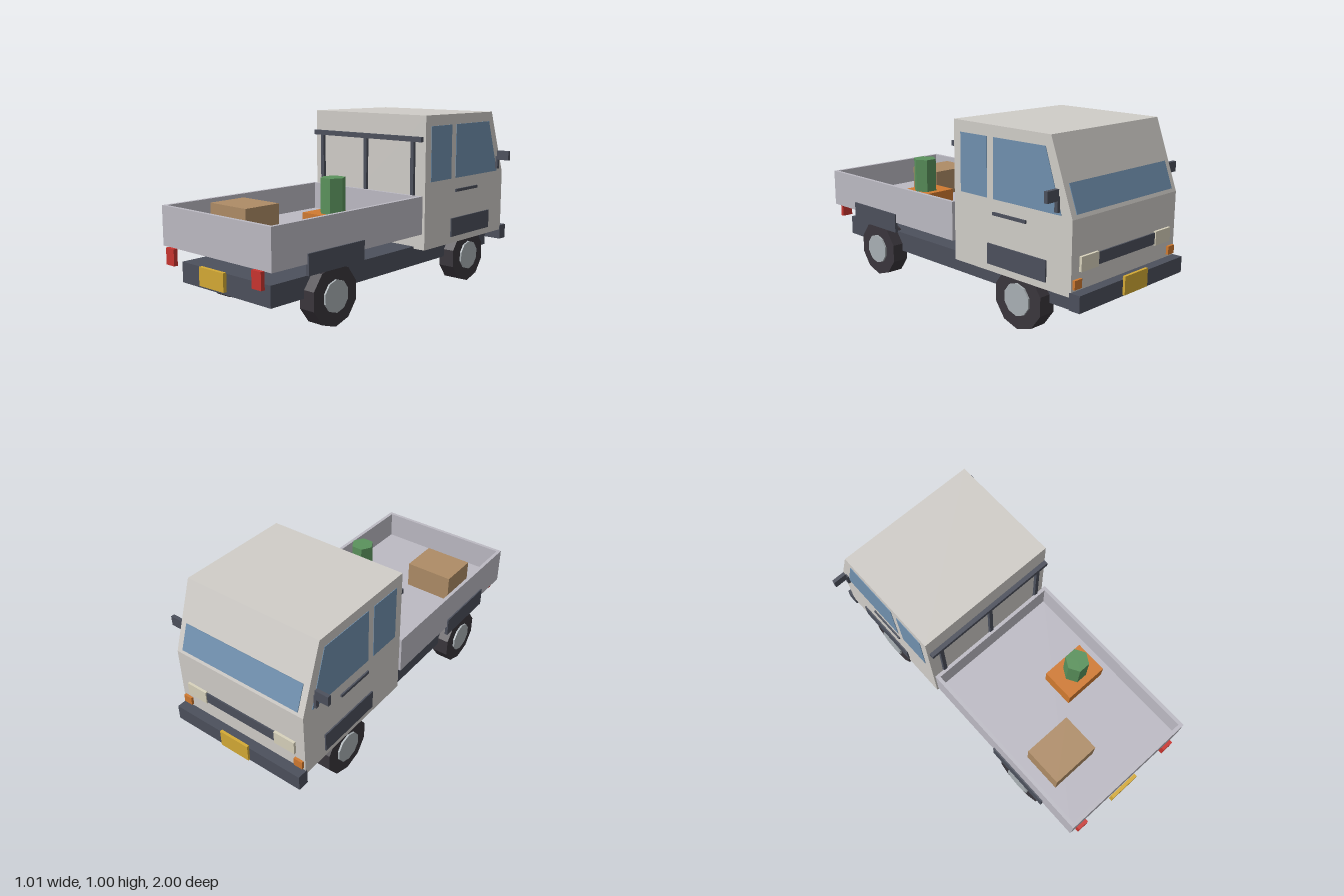
import * as THREE from 'three';

const C = {
  cab: 0xd0cdc8, bed: 0xbcbac3, dark: 0x4c505c, tyre: 0x3a363c, hub: 0xa9b0b4, glass: 0x7090ae,
  red: 0xc83530, yellow: 0xd4aa35, orange: 0xd07a30, card: 0xae8c66, green: 0x5a925c, lamp: 0xd8d2bc,
};
const materials = {};
for (const key in C) materials[key] = new THREE.MeshStandardMaterial({ color: C[key], flatShading: true });

export function createModel() {
  const truck = new THREE.Group();
  truck.name = 'pickupTruck';

  const add = (name, mat, geometry) => {
    const mesh = new THREE.Mesh(geometry, materials[mat]);
    mesh.name = name;
    truck.add(mesh);
    return mesh;
  };
  // Box given by its limits on each axis
  const box = (name, mat, [x0, x1], [y0, y1], [z0, z1]) =>
    add(name, mat, new THREE.BoxGeometry(x1 - x0, y1 - y0, z1 - z0)
      .translate((x0 + x1) / 2, (y0 + y1) / 2, (z0 + z1) / 2));
  // Side outline of [z, y] points, extruded across x
  const slab = (name, mat, points, x0, x1) => {
    const shape = new THREE.Shape(points.map(([z, y]) => new THREE.Vector2(z, y)));
    const geometry = new THREE.ExtrudeGeometry(shape, { depth: x1 - x0, bevelEnabled: false });
    return add(name, mat, geometry.rotateY(-Math.PI / 2).translate(x1, 0, 0));
  };
  // Limits mirrored for either side
  const span = (s, a, b) => (s > 0 ? [a, b] : [-b, -a]);

  // Chassis
  box('chassis', 'dark', [-0.335, 0.335], [0.163, 0.272], [-0.88, 0.92]);

  // Cab and windscreen
  slab('cab', 'cab', [[-0.145, 0.26], [-0.145, 1], [-0.797, 0.995], [-0.932, 0.625], [-0.932, 0.26]], -0.41, 0.41);
  const slope = (t, out) => [-0.797 - 0.135 * t - 0.94 * out, 0.995 - 0.37 * t + 0.343 * out];
  slab('windscreen', 'glass', [slope(0.58, -0.004), slope(0.95, -0.004), slope(0.95, 0.004), slope(0.58, 0.004)], -0.375, 0.375);

  // Load bed: floor and four walls
  box('bedFloor', 'bed', [-0.41, 0.41], [0.355, 0.41], [-0.123, 0.978]);
  box('bedFrontWall', 'bed', [-0.41, 0.41], [0.41, 0.565], [-0.123, -0.103]);
  box('tailgate', 'bed', [-0.41, 0.41], [0.41, 0.565], [0.958, 0.978]);

  // Rack behind the cab
  box('rackBar', 'dark', [-0.4, 0.4], [0.858, 0.885], [-0.138, -0.113]);
  for (const x of [-0.338, 0, 0.338]) {
    box('rackPost', 'dark', [x - 0.011, x + 0.011], [0.4, 0.86], [-0.134, -0.117]);
  }

  // Front bumper, grille and number plates
  box('frontBumper', 'dark', [-0.413, 0.413], [0.2, 0.285], [-0.987, -0.925]);
  box('grille', 'dark', [-0.228, 0.228], [0.38, 0.44], [-0.94, -0.93]);
  box('frontPlate', 'yellow', [-0.092, 0.092], [0.207, 0.302], [-1, -0.985]);
  box('rearPlate', 'yellow', [-0.092, 0.092], [0.207, 0.302], [0.978, 0.998]);

  // Parts on both sides
  for (const s of [-1, 1]) {
    const wide = (a, b) => span(s, a, b);
    box('bedSideWall', 'bed', wide(0.39, 0.41), [0.41, 0.565], [-0.103, 0.958]);
    slab('rearSideWindow', 'glass', [[-0.195, 0.635], [-0.195, 0.94], [-0.386, 0.94], [-0.386, 0.635]], ...wide(0.405, 0.413));
    slab('frontSideWindow', 'glass', [[-0.43, 0.635], [-0.43, 0.94], [-0.766, 0.94], [-0.868, 0.635]], ...wide(0.405, 0.413));
    box('doorHandle', 'dark', wide(0.405, 0.419), [0.555, 0.571], [-0.652, -0.43]);
    box('cabSidePanel', 'dark', wide(0.4, 0.418), [0.298, 0.405], [-0.782, -0.392]);
    box('bedSidePanel', 'dark', wide(0.4, 0.418), [0.298, 0.405], [0.362, 0.755]);
    box('mirrorArm', 'dark', wide(0.417, 0.432), [0.65, 0.725], [-0.862, -0.842]);
    box('mirror', 'dark', wide(0.426, 0.504), [0.705, 0.76], [-0.864, -0.844]);
    box('headlight', 'lamp', wide(0.228, 0.355), [0.374, 0.447], [-0.946, -0.93]);
    box('frontIndicator', 'orange', wide(0.348, 0.4), [0.298, 0.343], [-0.946, -0.93]);
    box('tailLight', 'red', wide(0.295, 0.36), [0.268, 0.356], [0.976, 0.998]);

    // Wheels
    for (const z of [-0.589, 0.557]) {
      const disc = (r, width) => new THREE.CylinderGeometry(r, r, width, 10, 1, false, Math.PI / 2).rotateZ(Math.PI / 2);
      add('tyre', 'tyre', disc(0.157, 0.095)).position.set(s * 0.353, 0.157, z);
      add('hub', 'hub', disc(0.084, 0.04)).position.set(s * 0.391, 0.157, z);
    }
  }

  // Cargo
  box('cardboardBox', 'card', [-0.31, -0.03], [0.405, 0.56], [0.525, 0.75]);
  box('orangeCrate', 'orange', [0.07, 0.325], [0.405, 0.515], [0.26, 0.452]);
  add('canister', 'green', new THREE.CylinderGeometry(0.066, 0.066, 0.19, 6, 1, false, Math.PI / 2))
    .position.set(0.196, 0.605, 0.356);

  return truck;
}
